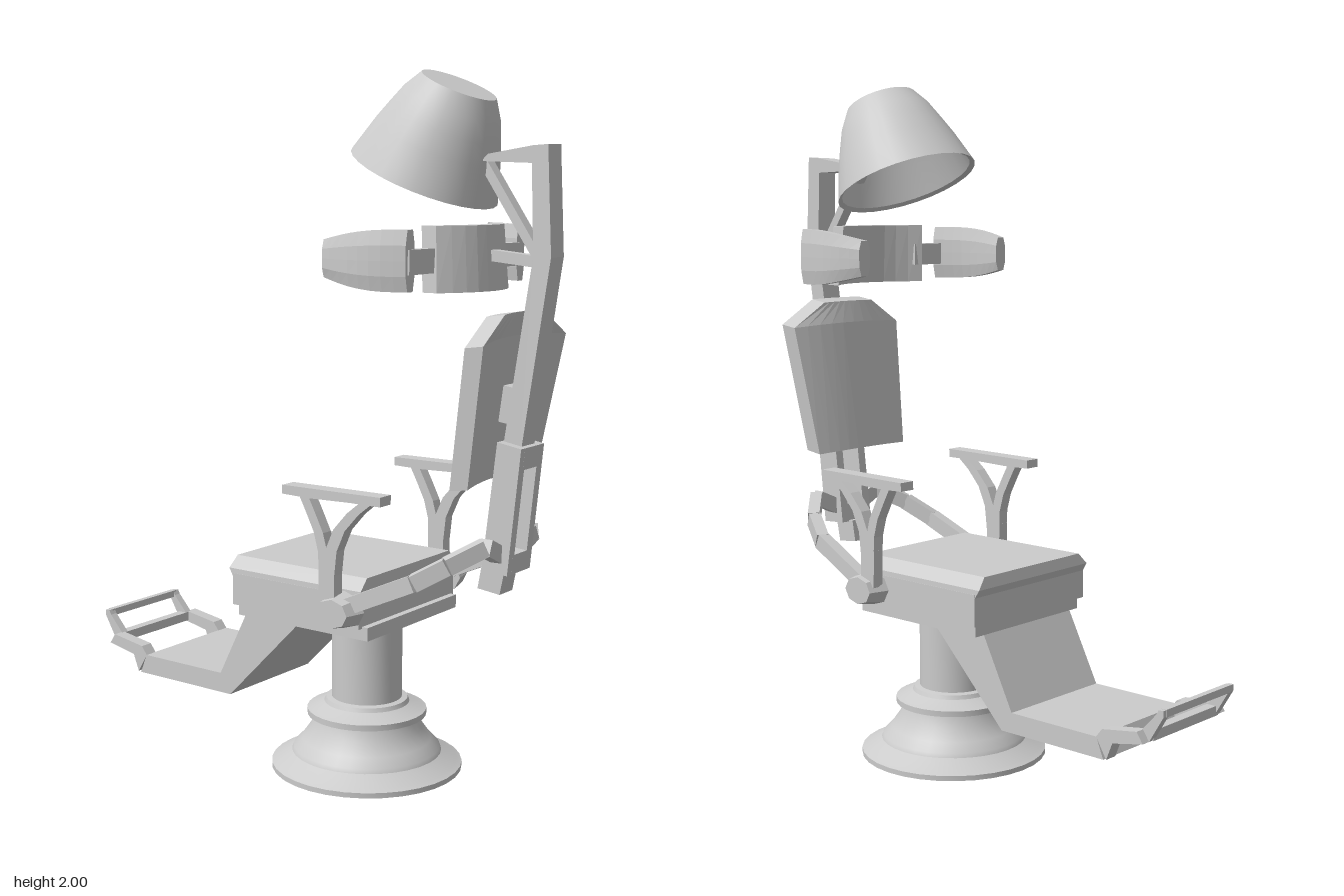
import * as THREE from 'three';
import { toCreasedNormals } from 'three/addons/utils/BufferGeometryUtils.js';

const flat = new THREE.MeshStandardMaterial({ color: 0xcccccc, flatShading: true });
const smooth = new THREE.MeshStandardMaterial({ color: 0xcccccc, side: THREE.DoubleSide });
const V = (p) => new THREE.Vector3(...p);

export function createModel() {
  const model = new THREE.Group();

  const add = (name, geometry, material = flat) => {
    const mesh = new THREE.Mesh(geometry, material);
    mesh.name = name;
    model.add(mesh);
    return mesh;
  };
  // box given by its limits on each axis
  const box = (name, x0, x1, y0, y1, z0, z1) =>
    add(name, new THREE.BoxGeometry(x1 - x0, y1 - y0, z1 - z0)
      .translate((x0 + x1) / 2, (y0 + y1) / 2, (z0 + z1) / 2));
  // side outline in x and y, extruded from z0 to z1
  const slab = (name, points, z0, z1) => {
    const shape = new THREE.Shape(points.map((p) => new THREE.Vector2(...p)));
    const g = new THREE.ExtrudeGeometry(shape, { depth: z1 - z0, bevelEnabled: false });
    return add(name, g.translate(0, 0, z0));
  };
  // square bar between two points
  const bar = (name, a, b, width, height) => {
    const from = V(a), to = V(b);
    const mesh = add(name, new THREE.BoxGeometry(width, height, from.distanceTo(to)));
    mesh.position.copy(from).add(to).multiplyScalar(0.5);
    mesh.lookAt(to);
  };
  // block whose vertices are moved by a rule (x -0.5..0.5, y 0..1, z -1..1)
  const panel = (name, rows, columns, rule) => {
    const g = new THREE.BoxGeometry(1, 1, 1, 1, rows, columns);
    const p = g.attributes.position;
    for (let i = 0; i < p.count; i++) {
      p.setXYZ(i, ...rule(p.getX(i), p.getY(i) + 0.5, p.getZ(i) * 2));
    }
    g.computeVertexNormals();
    return add(name, g);
  };
  const lathe = (points, segments) => toCreasedNormals(
    new THREE.LatheGeometry(points.map((p) => new THREE.Vector2(...p)), segments), 0.5);

  // turned base and column
  add('pedestal', lathe([[0, 0], [0.28, 0], [0.28, 0.015], [0.265, 0.022], [0.22, 0.048], [0.215, 0.06],
    [0.19, 0.085], [0.165, 0.12], [0.155, 0.152], [0.175, 0.158], [0.175, 0.175], [0.16, 0.18],
    [0.125, 0.195], [0.12, 0.207], [0.103, 0.21], [0.103, 0.455], [0, 0.455]], 32), smooth)
    .position.x = 0.148;

  // seat
  box('seatPlate', -0.15, 0.31, 0.452, 0.49, -0.225, 0.225);
  box('seatFrame', -0.16, 0.29, 0.485, 0.578, -0.24, 0.24);
  // cushion rows: front x, y, half width
  const cushionRows = [[-0.155, 0.56, 0.24], [-0.175, 0.592, 0.238], [-0.168, 0.625, 0.208]];
  panel('seatCushion', 2, 1, (x, y, z) => {
    const [front, height, half] = cushionRows[Math.round(y * 2)];
    return [x < 0 ? front : 0.295, height, z * half];
  });

  // leg rest and foot frame
  slab('legRest', [[0.048, 0.455], [-0.217, 0.188], [-0.58, 0.188], [-0.556, 0.247],
    [-0.254, 0.247], [-0.148, 0.455]], -0.19, 0.19);
  const sideArm = [[-0.71, 0.26], [-0.61, 0.24], [-0.59, 0.19], [-0.555, 0.247], [-0.575, 0.272], [-0.69, 0.29]];
  const footEnd = [[-0.71, 0.26], [-0.685, 0.288], [-0.733, 0.34], [-0.74, 0.353], [-0.755, 0.353], [-0.755, 0.335]];
  for (const s of [-1, 1]) {
    slab('footArm', sideArm, s * 0.17 - 0.02, s * 0.17 + 0.02);
    slab('footFrameEnd', footEnd, s * 0.15 - 0.012, s * 0.15 + 0.012);
  }
  box('footBar', -0.756, -0.738, 0.333, 0.354, -0.15, 0.15);
  box('heelBar', -0.715, -0.685, 0.26, 0.288, -0.15, 0.15);

  // back post with top arm, forked sleeve and end block
  slab('backPost', [[0.535, 1.757], [0.688, 1.752], [0.697, 1.51], [0.61, 0.96], [0.665, 0.95],
    [0.75, 1.51], [0.735, 1.8], [0.69, 1.797], [0.555, 1.776]], -0.034, 0.034);
  const sleeve = [[0.571, 0.66], [0.651, 0.655], [0.688, 1.005], [0.614, 1.017]];
  for (const s of [-1, 1]) slab('sleeveSide', sleeve, s * 0.047 - 0.014, s * 0.047 + 0.014);
  slab('sleeveTop', [[0.607, 0.95], [0.682, 0.945], [0.688, 1.005], [0.614, 1.017]], -0.04, 0.04);
  slab('sleeveBottom', [[0.571, 0.66], [0.651, 0.655], [0.657, 0.71], [0.58, 0.715]], -0.04, 0.04);
  slab('postEnd', [[0.543, 0.6], [0.613, 0.592], [0.627, 0.66], [0.555, 0.665]], -0.034, 0.034);

  // backrest, bowed forward in the middle, with cut upper corners
  const backRows = [[0.547, 0.905, 0.18], [0.602, 1.295, 0.217], [0.62, 1.36, 0.1]];
  panel('backrest', 2, 10, (x, y, z) => {
    const [cx, cy, half] = backRows[Math.round(y * 2)];
    const w = z * half, bow = (w / 0.2) ** 2;
    return [cx + x * 0.056 + bow * 0.027, cy + x * 0.008 - bow * 0.008, w];
  });
  bar('backrestMount', [0.58, 1.12, 0], [0.655, 1.11, 0], 0.06, 0.1);

  // headrest, wrapping forward at the sides
  panel('headrest', 1, 10, (x, y, z) =>
    [0.54 + x * 0.045 - 0.075 * z * z + (0.5 - y) * 0.012, 1.415 + y * 0.175, z * (0.178 - 0.012 * y)]);
  bar('headrestStrut', [0.55, 1.51, 0], [0.71, 1.495, 0], 0.035, 0.03);
  bar('lampStrut', [0.53, 1.755, 0], [0.705, 1.5, 0], 0.035, 0.026);

  // hood: open cone tipped forward
  const hood = add('hood', lathe([[0.2, 0.008], [0.214, 0], [0.181, 0.105], [0.16, 0.16], [0.139, 0.212],
    [0.107, 0.264], [0, 0.264]], 28), smooth);
  hood.position.set(0.335, 1.717, 0);
  hood.rotation.z = -0.42;

  for (const s of [-1, 1]) {
    // ear pad, tapering to the front with thinned edges, and its bracket
    panel('earPad', 4, 8, (x, y, z) => {
      const t = (z + 1) / 2, v = y * 2 - 1;
      const half = 0.05 + 0.03 * Math.sin(Math.min(1, t * 1.2) * Math.PI / 2);
      const mid = 0.285 + 0.029 * Math.sin(Math.PI * Math.min(1, t * 0.95 + 0.05)) - 0.006 * t;
      return [0.217 + t * 0.26, 1.503 + v * half, s * mid - x * 0.042 * (1 - 0.4 * v ** 4)];
    });
    const z0 = s > 0 ? 0.15 : -0.29;
    box('earPadBracket', 0.452, 0.482, 1.467, 1.532, z0, z0 + 0.14);

    // armrest on a forked support
    const a = s * 0.273;
    slab('armrestPad', [[0.07, 0.85], [0.16, 0.848], [0.3, 0.852], [0.4, 0.852], [0.4, 0.878], [0.07, 0.875]],
      a - 0.025, a + 0.025);
    const front = [[0.135, 0.86], [0.162, 0.81], [0.19, 0.755], [0.205, 0.7], [0.207, 0.64]];
    const rear = [[0.355, 0.86], [0.305, 0.82], [0.26, 0.77], [0.233, 0.71], [0.225, 0.64]];
    for (const [path, width] of [[front, 0.016], [rear, 0.019]]) {
      const edge = (d) => path.map(([x, y]) => [x + d, y]);
      slab('armrestFork', [...edge(-width), ...edge(width).reverse()], a - 0.018, a + 0.018);
    }
    slab('armrestStem', [[0.19, 0.66], [0.192, 0.55], [0.245, 0.55], [0.243, 0.66]], a - 0.018, a + 0.018);

    // pivot hub
    const hub = add('armrestHub', new THREE.CylinderGeometry(0.045, 0.058, 0.062, 8));
    hub.rotation.x = s * Math.PI / 2;
    hub.scale.set(1.15, 1, 0.9);
    hub.position.set(0.245, 0.537, s * 0.275);

    // jointed link from the hub to the sleeve
    const joints = [[0.24, 0.54, 0.262], [0.47, 0.645, 0.24], [0.55, 0.695, 0.2], [0.62, 0.742, 0.125],
      [0.615, 0.705, 0.045]].map(([x, y, z]) => [x, y, s * z]);
    for (let i = 0; i < 4; i++) bar('recliningLink', joints[i], joints[i + 1], 0.036, 0.046);
  }
  return model;
}
